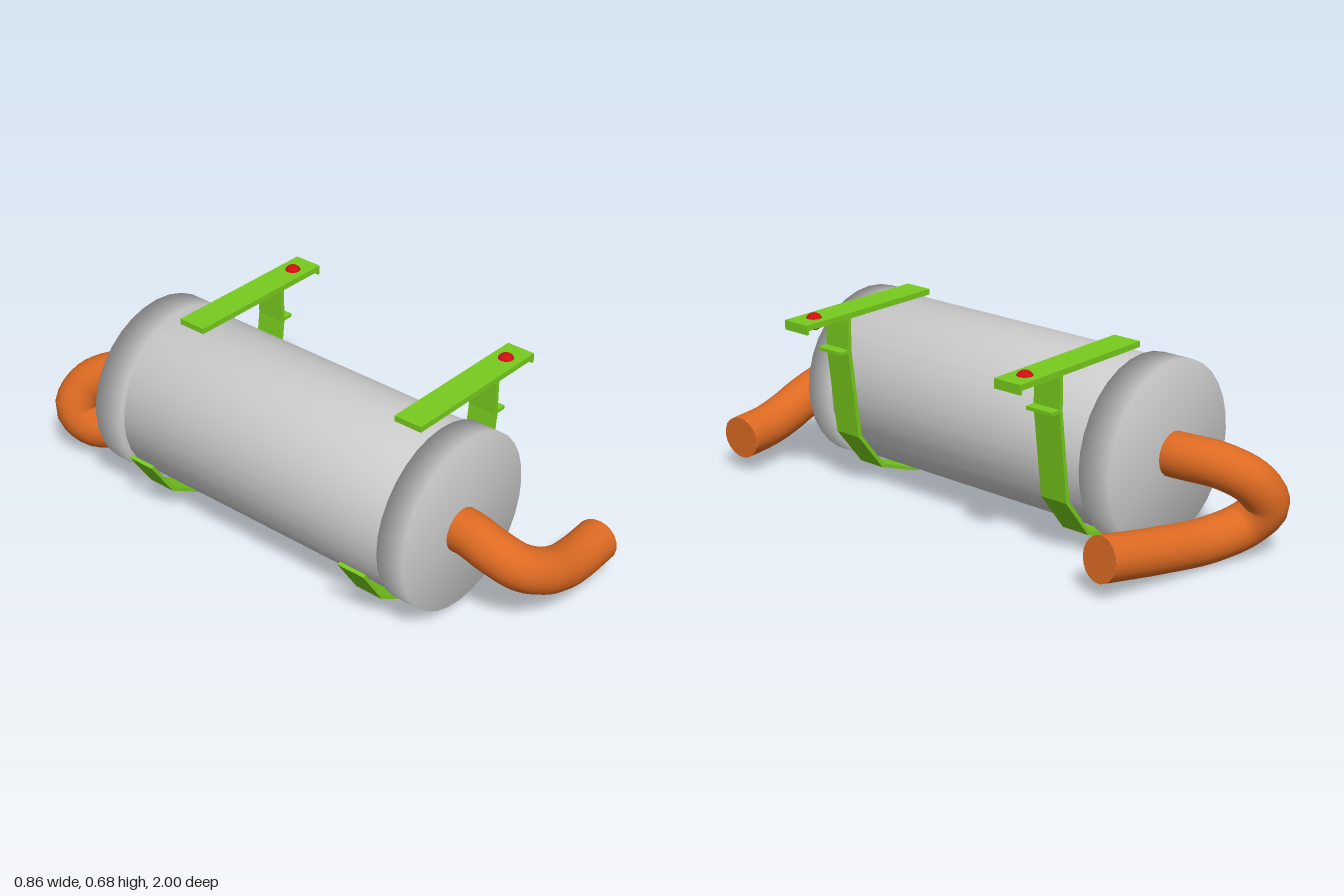
import * as THREE from 'three';

const material = (color) => new THREE.MeshStandardMaterial({ color });
const grey = material(0xcccccc);
const green = material(0x78cc1e);
const orange = material(0xdd6a22);
const red = material(0xcc1010);

function add(parent, name, geometry, mat, x = 0, y = 0, z = 0) {
  const mesh = new THREE.Mesh(geometry, mat);
  mesh.name = name;
  mesh.position.set(x, y, z);
  parent.add(mesh);
  return mesh;
}

// Closed drum along z; shared lathe normals soften the shading at its rim
function drum(parent, name, radius, z0, z1) {
  const profile = [[0, z0], [radius, z0], [radius, z1], [0, z1]].map((p) => new THREE.Vector2(...p));
  const geometry = new THREE.LatheGeometry(profile, 32).rotateX(Math.PI / 2);
  add(parent, name, geometry, grey, -0.1, 0.332, 0);
}

// Bent pipe with a flat closed outer end
function pipe(parent, name, points) {
  const radius = 0.076;
  const curve = new THREE.CatmullRomCurve3(points.map((p) => new THREE.Vector3(...p)), false, 'centripetal');
  const group = new THREE.Group();
  group.name = name;
  add(group, name + 'Tube', new THREE.TubeGeometry(curve, 48, radius, 20), orange);
  const end = add(group, name + 'End', new THREE.CircleGeometry(radius, 20), orange);
  end.position.copy(curve.getPointAt(1));
  end.quaternion.setFromUnitVectors(new THREE.Vector3(0, 0, 1), curve.getTangentAt(1));
  parent.add(group);
}

// Outline of the hanging strap: outer edge, then back along the inner edge
const strapOutline = [
  [-0.43, 0.235], [-0.337, 0.098], [-0.19, 0.015], [-0.08, 0.001],
  [0.09, 0.063], [0.203, 0.205], [0.242, 0.515], [0.242, 0.645],
  [0.227, 0.645], [0.227, 0.52], [0.188, 0.21], [0.082, 0.074],
  [-0.08, 0.014], [-0.186, 0.027], [-0.329, 0.108], [-0.42, 0.242],
];

function bracket(parent, name, z) {
  const width = 0.105;
  const group = new THREE.Group();
  group.name = name;
  group.position.z = z;
  const shape = new THREE.Shape(strapOutline.map((p) => new THREE.Vector2(...p)));
  const strap = new THREE.ExtrudeGeometry(shape, { depth: width, bevelEnabled: false });
  add(group, 'strap', strap.translate(0, 0, -width / 2), green);
  add(group, 'topPlate', new THREE.BoxGeometry(0.592, 0.02, width), green, 0.134, 0.649, 0);
  add(group, 'plateLip', new THREE.BoxGeometry(0.008, 0.02, width), green, 0.426, 0.636, 0);
  add(group, 'sideTab', new THREE.BoxGeometry(0.045, 0.012, width), green, 0.2575, 0.524, 0);
  add(group, 'bolt', new THREE.SphereGeometry(0.03, 20, 12), red, 0.347, 0.646, 0);
  parent.add(group);
}

export function createModel() {
  const model = new THREE.Group();
  model.name = 'muffler';

  // Canister with a wider cap at each end
  drum(model, 'canister', 0.295, -0.6, 0.63);
  drum(model, 'frontCap', 0.307, 0.58, 0.682);
  drum(model, 'backCap', 0.312, -0.655, -0.535);

  // Pipes leave the caps and sweep down towards +x
  pipe(model, 'frontPipe', [
    [-0.108, 0.308, 0.6], [-0.11, 0.308, 0.72], [-0.11, 0.285, 0.81], [-0.075, 0.242, 0.885],
    [0, 0.2, 0.918], [0.1, 0.16, 0.922], [0.2, 0.138, 0.915], [0.335, 0.13, 0.905],
  ]);
  pipe(model, 'backPipe', [
    [-0.12, 0.325, -0.6], [-0.125, 0.327, -0.7], [-0.16, 0.315, -0.82], [-0.22, 0.26, -0.905],
    [-0.265, 0.18, -0.922], [-0.235, 0.11, -0.87], [-0.11, 0.078, -0.815],
    [0.1, 0.096, -0.772], [0.345, 0.132, -0.728],
  ]);

  // Two identical hangers
  bracket(model, 'frontBracket', 0.497);
  bracket(model, 'backBracket', -0.428);
  return model;
}
